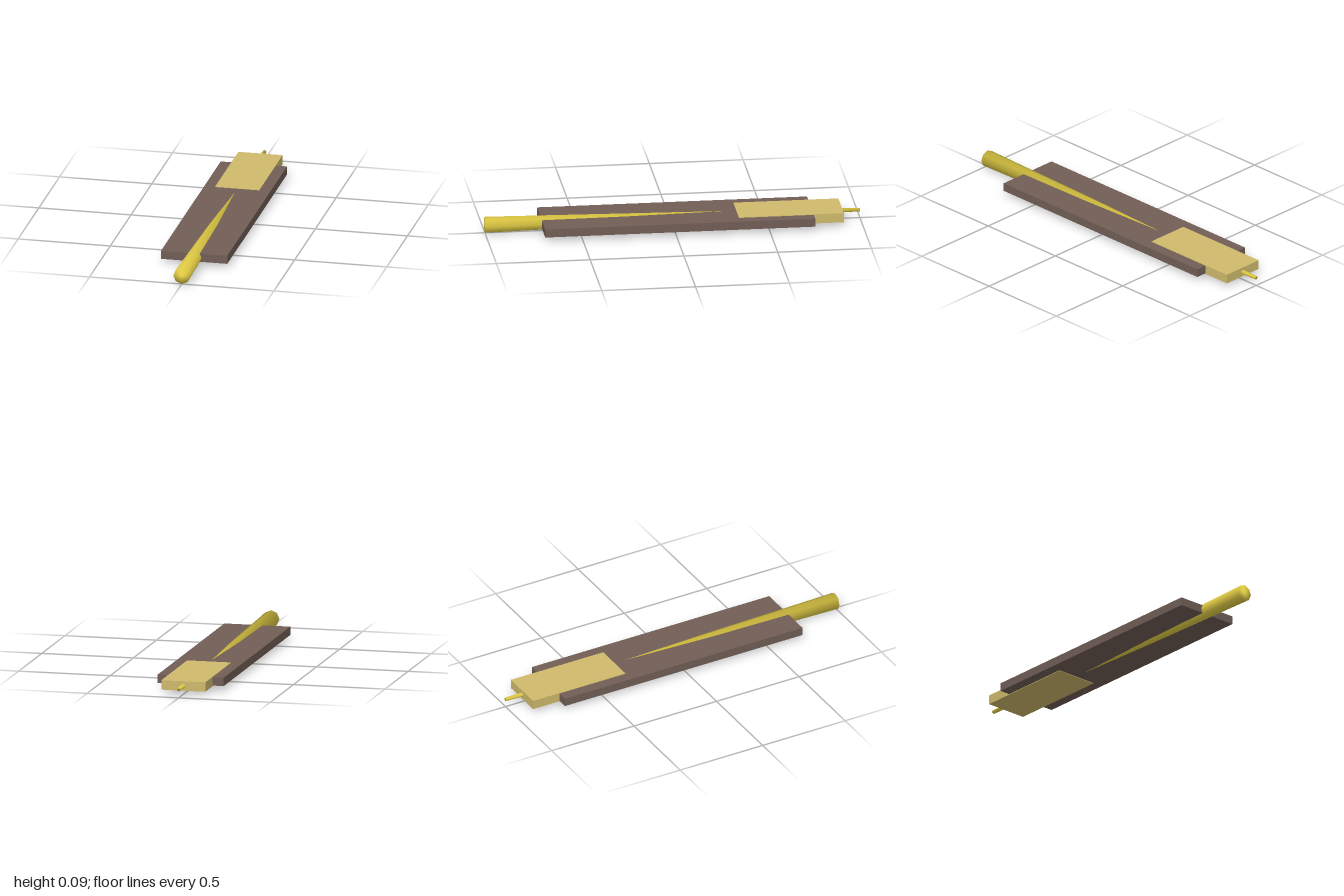
import * as THREE from 'three';

const material = (name, color) => {
  const m = new THREE.MeshStandardMaterial({ color });
  m.name = name;
  return m;
};

export function createModel() {
  const group = new THREE.Group();
  const midY = 0.045;
  const brown = material('dark brown', 0x715e56);
  const tan = material('pale gold', 0xcfba6c);
  const gold = material('gold', 0xdcc742);

  const add = (name, geometry, mat, z) => {
    const mesh = new THREE.Mesh(geometry, mat);
    mesh.name = name;
    mesh.position.set(0, midY, z);
    group.add(mesh);
  };

  // Long flat slab and the thicker block overlapping its rear end
  add('slab', new THREE.BoxGeometry(0.36, 0.045, 1.44), brown, -0.02);
  add('rearBlock', new THREE.BoxGeometry(0.24, 0.051, 0.56), tan, -0.62);

  // Eight-sided tapered rod through the full length
  const rod = new THREE.CylinderGeometry(0.045, 0.01, 2, 8);
  rod.rotateX(Math.PI / 2);
  // Normals flow smoothly from the sides into both end caps
  const pos = rod.attributes.position;
  const n = new THREE.Vector3();
  for (let i = 0; i < pos.count; i++) {
    n.set(pos.getX(i), pos.getY(i), 0).normalize();
    n.z = Math.sign(pos.getZ(i)) * 0.8;
    n.normalize();
    rod.attributes.normal.setXYZ(i, n.x, n.y, n.z);
  }
  add('taperedRod', rod, gold, 0);

  return group;
}
